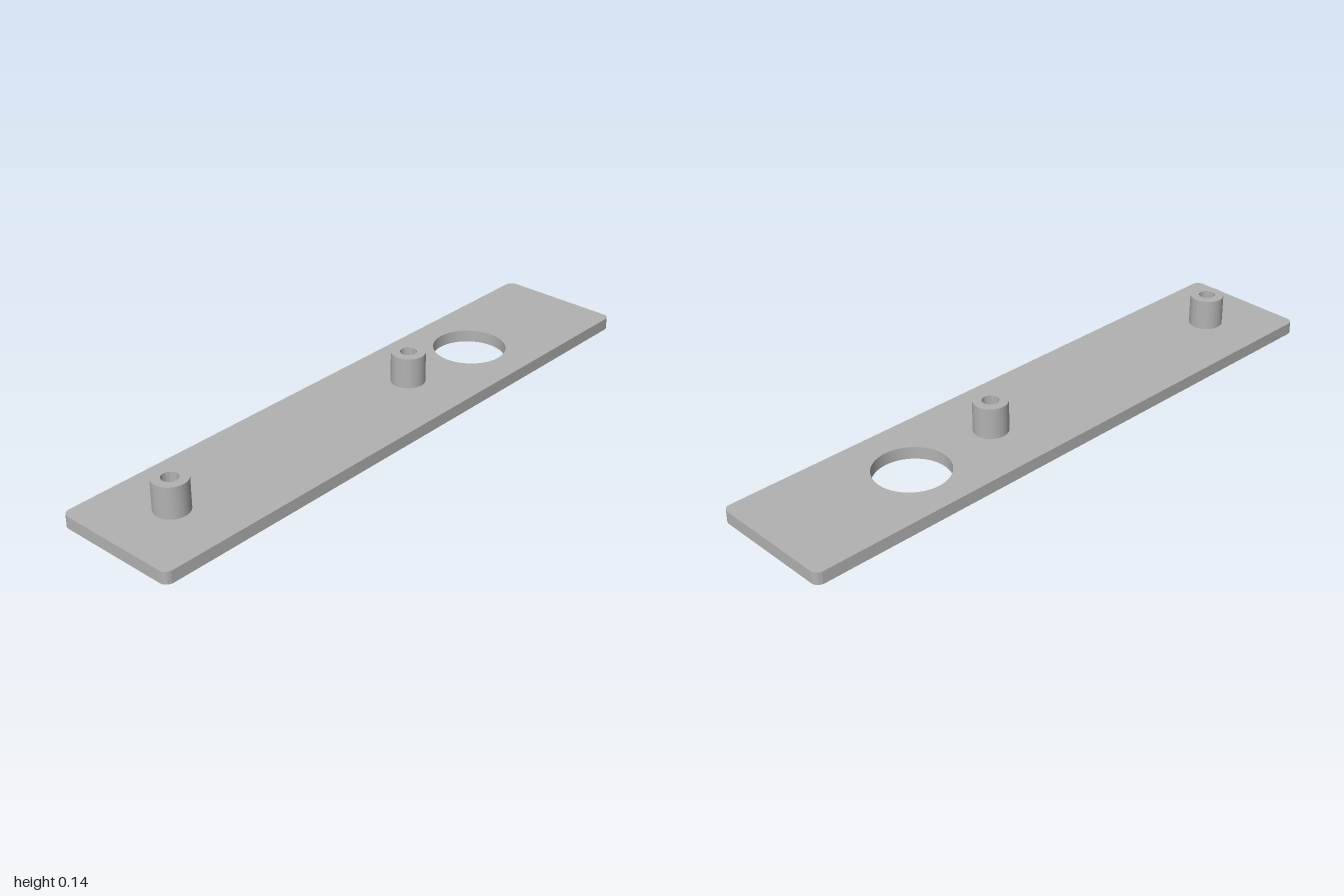
import * as THREE from 'three';
import { toCreasedNormals } from 'three/addons/utils/BufferGeometryUtils.js';

const LENGTH = 2, WIDTH = 0.42, THICKNESS = 0.04, CORNER = 0.025;
const AXIS_Z = -0.005; // line shared by the bosses and the large hole
const BOSS_X = [-0.786, 0.197], BOSS_RADIUS = 0.0545, BORE_RADIUS = 0.026, BOSS_TOP = 0.141;

// Circle in the plan view (shape y is -z)
function circle(Type, x, z, radius) {
  return new Type().absarc(x, -z, radius, 0, Math.PI * 2, false);
}

// Extrude a plan shape upward, with smooth round walls and sharp rims
function extrudeUp(shape, bottom, top) {
  const geometry = new THREE.ExtrudeGeometry(shape, {
    depth: top - bottom, bevelEnabled: false, curveSegments: 32,
  });
  geometry.rotateX(-Math.PI / 2).translate(0, bottom, 0);
  return toCreasedNormals(geometry, 0.5);
}

function roundedRectangle(width, height, r) {
  const x = width / 2 - r, y = height / 2 - r;
  const shape = new THREE.Shape();
  shape.absarc(x, y, r, 0, Math.PI / 2, false);
  shape.absarc(-x, y, r, Math.PI / 2, Math.PI, false);
  shape.absarc(-x, -y, r, Math.PI, Math.PI * 1.5, false);
  shape.absarc(x, -y, r, Math.PI * 1.5, Math.PI * 2, false);
  return shape;
}

export function createModel() {
  const group = new THREE.Group();
  group.name = 'mountingPlate';
  const grey = new THREE.MeshStandardMaterial({ color: 0xb2b2b2 });
  grey.name = 'grey';

  function add(name, geometry) {
    const mesh = new THREE.Mesh(geometry, grey);
    mesh.name = name;
    group.add(mesh);
  }

  // Flat plate with a large hole and the two bores passing through
  const plate = roundedRectangle(LENGTH, WIDTH, CORNER);
  plate.holes.push(circle(THREE.Path, 0.505, AXIS_Z, 0.118));
  for (const x of BOSS_X) plate.holes.push(circle(THREE.Path, x, AXIS_Z, BORE_RADIUS));
  add('plate', extrudeUp(plate, 0, THICKNESS));

  // Hollow cylindrical bosses
  BOSS_X.forEach((x, i) => {
    const ring = circle(THREE.Shape, x, AXIS_Z, BOSS_RADIUS);
    ring.holes.push(circle(THREE.Path, x, AXIS_Z, BORE_RADIUS));
    add(i === 0 ? 'rightBoss' : 'leftBoss', extrudeUp(ring, THICKNESS, BOSS_TOP));
  });

  return group;
}
